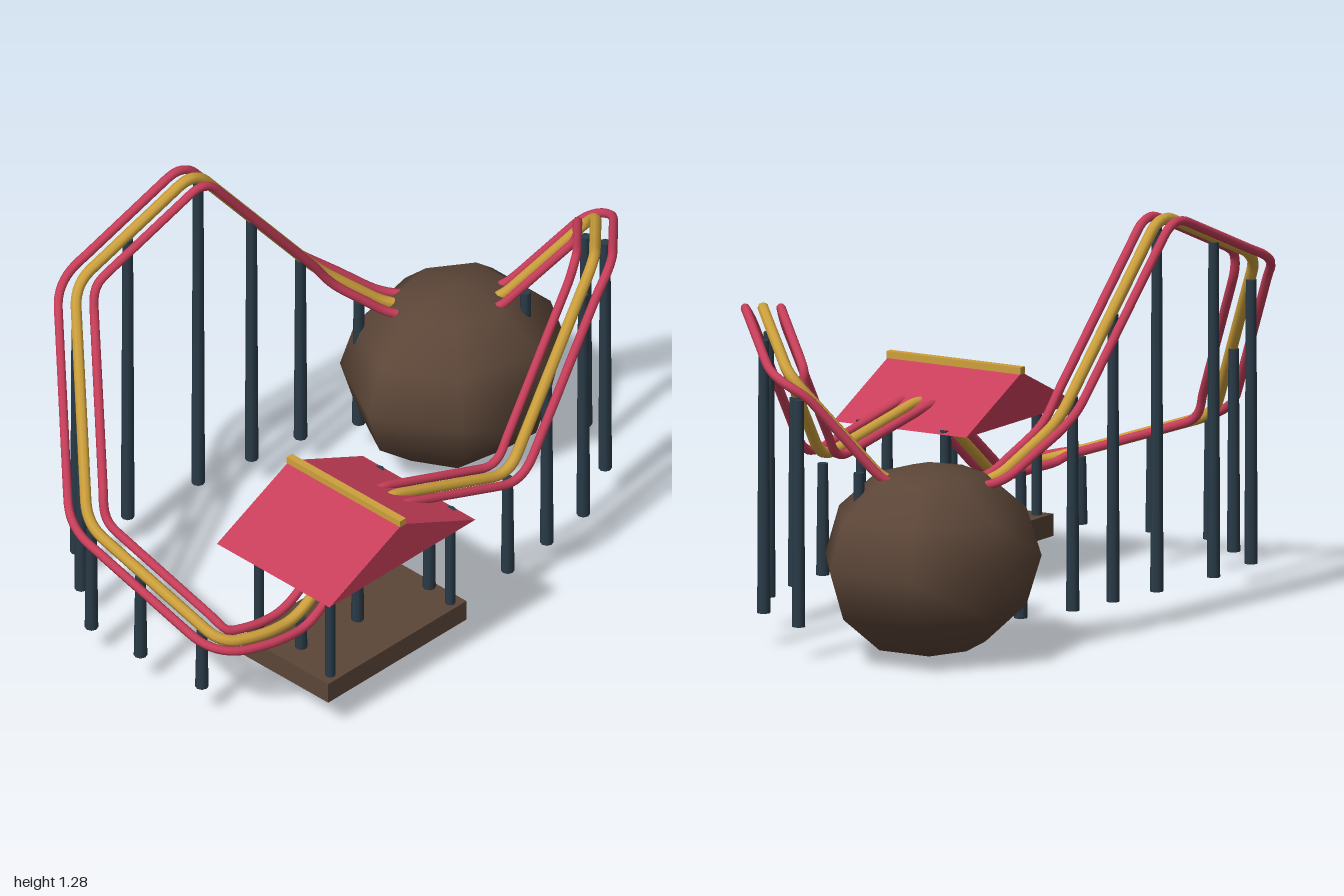
import * as THREE from 'three';

const V = (x, y, z) => new THREE.Vector3(x, y, z);
const paint = (name, color) => {
  const m = new THREE.MeshStandardMaterial({ color });
  m.name = name;
  return m;
};

// Closed path of straight runs joined by short rounded bends
function roundedLoop(corners, bend) {
  const path = new THREE.CurvePath();
  const n = corners.length;
  const near = (i, j) => {
    const a = corners[(i + n) % n], b = corners[(j + n) % n];
    return a.clone().lerp(b, Math.min(0.45, bend / a.distanceTo(b)));
  };
  for (let i = 0; i < n; i++) {
    path.add(new THREE.QuadraticBezierCurve3(near(i, i - 1), corners[i], near(i, i + 1)));
    path.add(new THREE.LineCurve3(near(i, i + 1), near(i + 1, i)));
  }
  return path;
}

export function createModel() {
  const model = new THREE.Group();
  model.name = 'rollerCoaster';
  const red = paint('rail red', 0xc83e5a);
  const gold = paint('spine gold', 0xcda03c);
  const steel = paint('dark steel', 0x2a3b48);
  const brown = paint('earth brown', 0x5c4638);
  const beige = paint('pale beige', 0xdcbfb2);

  const add = (name, geometry, material, x = 0, y = 0, z = 0, parent = model) => {
    const mesh = new THREE.Mesh(geometry, material);
    mesh.name = name;
    mesh.position.set(x, y, z);
    parent.add(mesh);
    return mesh;
  };

  // Track: gold spine with a red rail on either side
  const path = roundedLoop([
    V(-0.64, 0.295, 0.37), V(-0.29, 0.595, 0.405), V(0.18, 0.475, 0.485),
    V(0.61, 1.045, 0.435), V(0.925, 0.9, 0.135), V(0.735, 0.55, -0.105),
    V(0.5, 0.54, -0.335), V(0.31, 0.71, -0.455), V(-0.165, 1.29, -0.528),
    V(-0.64, 1.085, -0.577), V(-0.935, 0.5, -0.24), V(-0.91, 0.31, 0.315),
    V(-0.77, 0.3, 0.365),
  ], 0.07);
  const steps = 260;
  const sample = [];
  for (let i = 0; i < steps; i++) sample.push(path.getPointAt(i / steps));
  const track = new THREE.Group();
  track.name = 'track';
  model.add(track);
  const offsetCurve = (d) => new THREE.CatmullRomCurve3(sample.map((p, i) => {
    const a = sample[(i + steps - 2) % steps], b = sample[(i + 2) % steps];
    const side = b.clone().sub(a).cross(V(0, 1, 0)).normalize();
    return p.clone().addScaledVector(side, d);
  }), true);
  const tube = (name, d, r, m) =>
    add(name, new THREE.TubeGeometry(offsetCurve(d), 320, r, 8, true), m, 0, 0, 0, track);
  tube('spine', 0, 0.018, gold);
  tube('leftRail', 0.055, 0.0145, red);
  tube('rightRail', -0.055, 0.0145, red);

  // Support poles from the ground up to the spine: x, z, top
  const ground = 0.11;
  const supports = new THREE.Group();
  supports.name = 'supports';
  model.add(supports);
  for (const [x, z, top] of [
    [-0.62, 0.372, 0.29], [-0.395, 0.395, 0.49], [-0.12, 0.435, 0.53], [0.18, 0.48, 0.46],
    [0.37, 0.463, 0.70], [0.555, 0.44, 0.94], [0.775, 0.32, 0.965], [0.9, 0.115, 0.82],
    [0.79, -0.035, 0.59], [0.42, -0.39, 0.57], [0.24, -0.465, 0.78], [0.055, -0.495, 1.01],
    [-0.15, -0.525, 1.25], [-0.43, -0.555, 1.16], [-0.67, -0.54, 1.0], [-0.8, -0.395, 0.745],
    [-0.925, -0.23, 0.48], [-0.925, -0.02, 0.41], [-0.912, 0.23, 0.32],
  ]) {
    const h = top - ground;
    add('supportPole', new THREE.CylinderGeometry(0.0165, 0.021, h, 8), steel,
      x, ground + h / 2, z, supports);
  }

  // Boulder that the track tunnels through
  const boulder = add('boulder', new THREE.SphereGeometry(1, 7, 6), brown, 0.64, 0.31, -0.195);
  boulder.scale.set(0.38, 0.305, 0.332);

  // Station: platform, posts, gabled roof and ridge beam
  const station = new THREE.Group();
  station.name = 'station';
  station.position.set(-0.435, 0, 0.385);
  model.add(station);
  add('platform', new THREE.BoxGeometry(0.61, 0.07, 0.37), brown, 0.035, 0.145, 0, station);
  for (const x of [-0.23, 0.3]) {
    for (const z of [-0.15, 0.155]) {
      add('roofPost', new THREE.CylinderGeometry(0.016, 0.016, 0.36, 8), steel, x, 0.355, z, station);
    }
  }
  const gable = new THREE.Shape([
    new THREE.Vector2(-0.322, 0.525), new THREE.Vector2(0.322, 0.525), new THREE.Vector2(0, 0.675),
  ]);
  add('roof', new THREE.ExtrudeGeometry(gable, { depth: 0.482, bevelEnabled: false }), red,
    0, 0, -0.241, station);
  add('ridgeBeam', new THREE.BoxGeometry(0.025, 0.022, 0.487), gold, 0, 0.681, 0, station);

  // Small car with a round head at the front
  add('car', new THREE.BoxGeometry(0.1, 0.055, 0.17), gold, 0, 0.145, -0.022);
  add('carNose', new THREE.SphereGeometry(0.04, 10, 8), beige, 0, 0.155, 0.063);

  return model;
}
